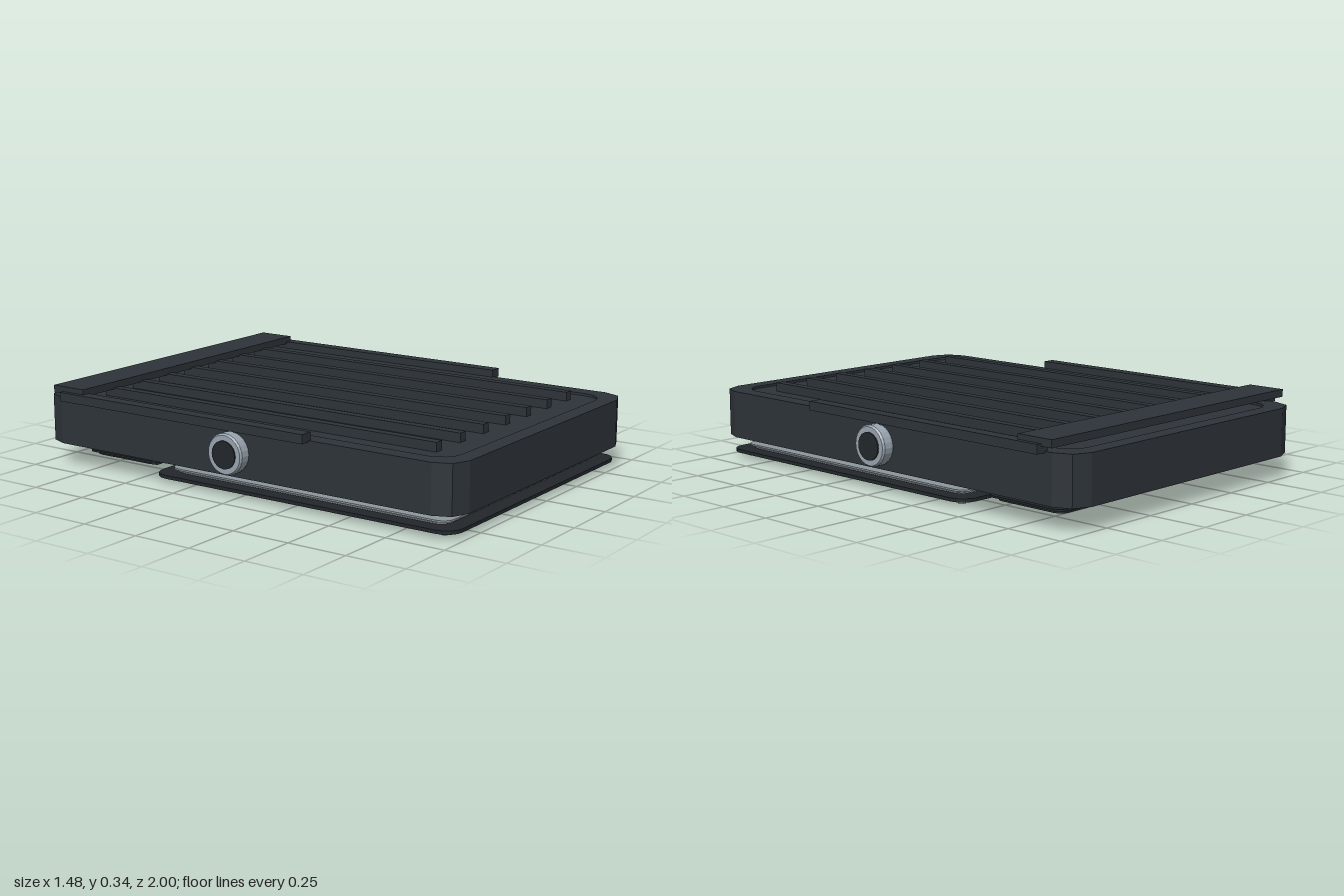
import * as THREE from 'three';

const mat = (color, flat = true) => new THREE.MeshStandardMaterial({ color, flatShading: flat });
const dark = mat(0x2e343a), black = mat(0x22272b), grey = mat(0x8e979e), steel = mat(0x9aa5b0);

// Rounded rectangle in plan; each corner is a short run of straight facets.
function outline(hx, z0, z1, r, steps = 2) {
  const pts = [];
  const corners = [[hx - r, z1 - r, 0], [-hx + r, z1 - r, 1], [-hx + r, z0 + r, 2], [hx - r, z0 + r, 3]];
  for (const [cx, cz, q] of corners)
    for (let i = 0; i <= steps; i++) {
      const a = (q + i / steps) * Math.PI / 2;
      pts.push(new THREE.Vector2(cx + r * Math.cos(a), cz + r * Math.sin(a)));
    }
  return pts;
}

// Horizontal slab between two heights, with an optional hole.
function slab(name, plan, y0, y1, material, hole) {
  const shape = new THREE.Shape(plan);
  if (hole) shape.holes.push(new THREE.Path(hole));
  const geo = new THREE.ExtrudeGeometry(shape, { depth: y1 - y0, bevelEnabled: false });
  geo.rotateX(Math.PI / 2);
  geo.translate(0, y1, 0);
  const mesh = new THREE.Mesh(geo, material);
  mesh.name = name;
  return mesh;
}

// Box given by its limits on each axis.
function box(name, x0, x1, y0, y1, z0, z1, material) {
  const mesh = new THREE.Mesh(new THREE.BoxGeometry(x1 - x0, y1 - y0, z1 - z0), material);
  mesh.position.set((x0 + x1) / 2, (y0 + y1) / 2, (z0 + z1) / 2);
  mesh.name = name;
  return mesh;
}

// Side dial: a steel ring around a dark cap, facing +x.
function dial() {
  const group = new THREE.Group();
  const profile = [[0.056, 0], [0.08, 0], [0.083, 0.01], [0.083, 0.045], [0.077, 0.053], [0.056, 0.053], [0.056, 0]]
    .map(([r, h]) => new THREE.Vector2(r, h));
  const ring = new THREE.Mesh(new THREE.LatheGeometry(profile, 24), steel);
  ring.name = 'dialRing';
  const cap = new THREE.Mesh(new THREE.CylinderGeometry(0.056, 0.056, 0.058, 24), black);
  cap.position.y = 0.029;
  cap.name = 'dialCap';
  group.add(ring, cap);
  group.rotation.z = -Math.PI / 2;
  return group;
}

export function createModel() {
  const model = new THREE.Group();
  model.name = 'ribbedCase';

  // Main body with a shallow tray in its top
  const plan = outline(0.685, -1, 1, 0.1);
  const tray = outline(0.615, -0.93, 0.93, 0.09, 4);
  model.add(slab('body', plan, 0.093, 0.28, dark));
  model.add(slab('topRim', plan, 0.28, 0.29, dark, tray));

  // Seven long ribs on the top
  for (let i = -3; i <= 3; i++) {
    const x = i * 0.168;
    model.add(box('rib', x - 0.019, x + 0.019, 0.279, 0.317, -0.8, 0.82, dark));
  }

  // Cross strip at the back, side rails and dials
  model.add(box('backStrip', -0.706, 0.706, 0.311, 0.342, -0.917, -0.755, dark));
  for (const s of [-1, 1]) {
    const inner = s * 0.672, outer = s * 0.726;
    model.add(box('sideRail', Math.min(inner, outer), Math.max(inner, outer), 0.284, 0.321, -0.866, 0.362, dark));
    const knob = dial();
    knob.name = s > 0 ? 'leftDial' : 'rightDial';
    knob.position.set(s * 0.684, 0.191, 0);
    if (s < 0) knob.rotation.z = Math.PI / 2;
    model.add(knob);
  }

  // Stack of thin plates under the body
  model.add(slab('upperSeal', outline(0.585, -0.348, 0.893, 0.04, 4), 0.083, 0.093, grey));
  model.add(slab('middlePlate', outline(0.612, -0.385, 0.926, 0.05, 4), 0.047, 0.054, grey));
  model.add(slab('lowerPlate', outline(0.6, -0.365, 0.91, 0.05, 4), 0.036, 0.041, grey));

  // Bottom frame around a pale panel
  const opening = outline(0.592, -0.362, 0.903, 0.045, 4);
  model.add(slab('bottomFrame', outline(0.66, -0.436, 0.977, 0.07, 4), 0.02, 0.034, black, opening));
  model.add(slab('bottomPanel', opening, 0.022, 0.033, grey));

  // Screws at the frame corners
  for (const x of [-0.59, 0.59])
    for (const z of [-0.358, 0.902]) {
      const screw = new THREE.Mesh(new THREE.CylinderGeometry(0.018, 0.016, 0.022, 12), steel);
      screw.position.set(x, 0.011, z);
      screw.name = 'screw';
      model.add(screw);
    }

  // Rear cover in two layers, with a pair of tabs
  model.add(slab('rearCoverUpper', outline(0.585, -0.856, -0.478, 0.04, 4), 0.046, 0.054, black));
  model.add(slab('rearCoverLower', outline(0.56, -0.836, -0.5, 0.04, 4), 0.032, 0.04, black));
  for (const z of [-0.8, -0.53])
    model.add(box('coverTab', -0.55, -0.39, 0.03, 0.034, z - 0.025, z + 0.025, mat(0x4a5056)));

  return model;
}
